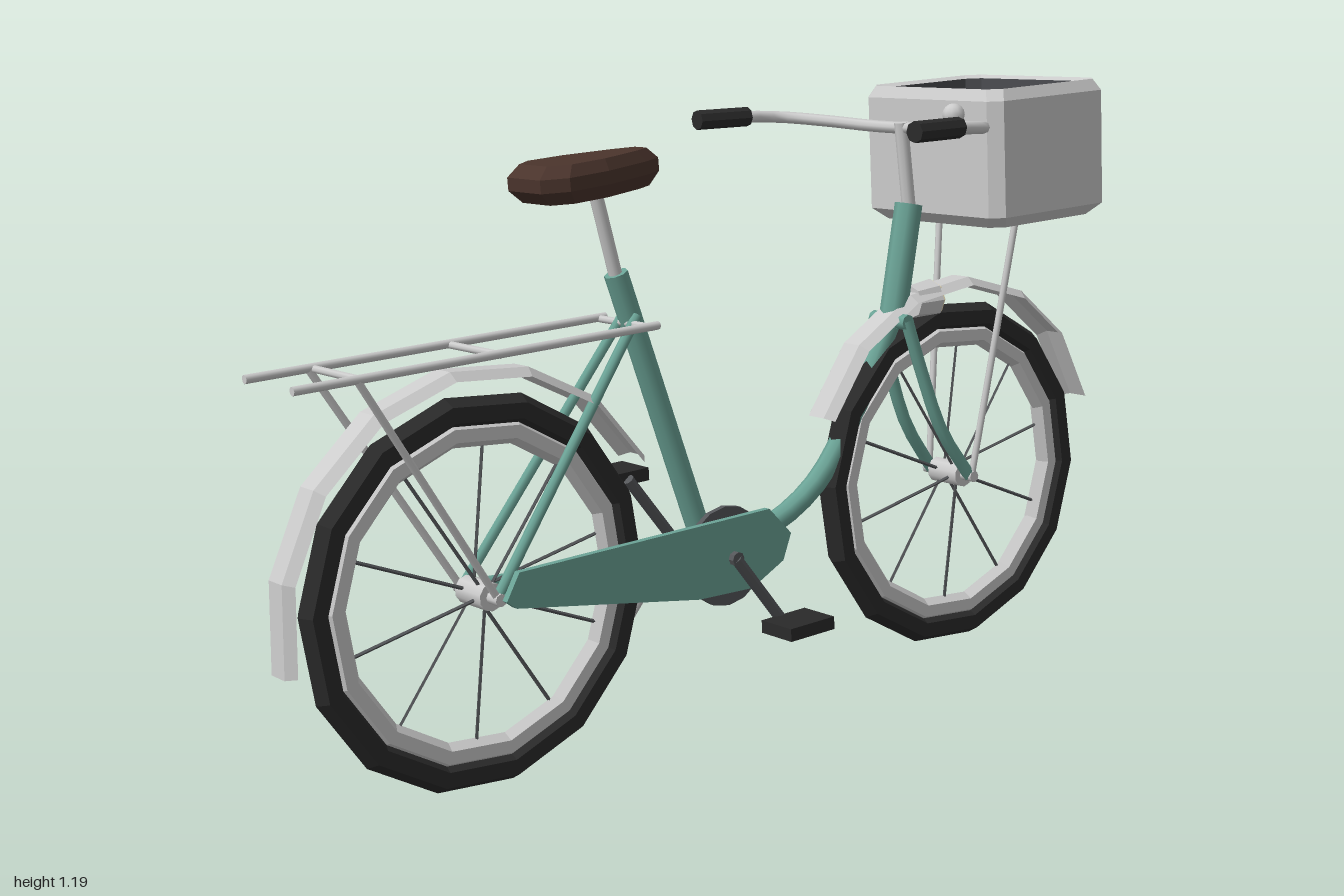
import * as THREE from 'three';

const mat = (color, flatShading = true, side = THREE.FrontSide) =>
  new THREE.MeshStandardMaterial({ color, flatShading, side });
const GREY = mat(0xcccccc), METAL = mat(0xcccccc, false), THIN = mat(0xcccccc, true, THREE.DoubleSide);
const PAINT = mat(0x6ba396, false), PAINT_FLAT = mat(0x6ba396);
const BLACK = mat(0x2a2a2a), DARK = mat(0x55575a), LINING = mat(0x4a4c50);
const LEATHER = mat(0x4a342c), CREAM = mat(0xe8dcb8);

const V = (x, y, z) => new THREE.Vector3(x, y, z);
const REAR = V(-0.59, 0.37, 0), FRONT = V(0.595, 0.37, 0), CRANK = V(-0.072, 0.34, 0);

function add(parent, name, geometry, material, x = 0, y = 0, z = 0) {
  const mesh = new THREE.Mesh(geometry, material);
  mesh.name = name;
  mesh.position.set(x, y, z);
  parent.add(mesh);
  return mesh;
}

// Straight round bar between two points
function rod(parent, name, a, b, r, material, r2 = r, sides = 8) {
  const dir = b.clone().sub(a);
  const mesh = add(parent, name, new THREE.CylinderGeometry(r2, r, dir.length(), sides), material);
  mesh.position.copy(a).add(b).multiplyScalar(0.5);
  mesh.quaternion.setFromUnitVectors(V(0, 1, 0), dir.normalize());
  return mesh;
}

function bentTube(parent, name, points, r, material, steps = 16) {
  return add(parent, name, new THREE.TubeGeometry(new THREE.CatmullRomCurve3(points), steps, r, 8), material);
}

// Skin over a row of equal cross-sections
function loft(loops, { closed = true, capStart = false, capEnd = false } = {}) {
  const n = loops[0].length, index = [];
  for (let i = 0; i < loops.length - 1; i++) {
    for (let j = 0; j < (closed ? n : n - 1); j++) {
      const k = (j + 1) % n, a = i * n, b = a + n;
      index.push(a + j, a + k, b + k, a + j, b + k, b + j);
    }
  }
  const last = (loops.length - 1) * n;
  for (let j = 1; j < n - 1; j++) {
    if (capStart) index.push(0, j + 1, j);
    if (capEnd) index.push(last, last + j, last + j + 1);
  }
  const g = new THREE.BufferGeometry().setFromPoints(loops.flat());
  g.setIndex(index);
  g.computeVertexNormals();
  return g;
}

function makeWheel(name, centre) {
  const wheel = new THREE.Group();
  wheel.name = name;
  wheel.position.copy(centre);
  add(wheel, 'tyre', new THREE.TorusGeometry(0.335, 0.029, 6, 14), BLACK).rotation.z = -0.1;
  const rim = add(wheel, 'rim', new THREE.TorusGeometry(0.296, 0.024, 6, 14), GREY);
  rim.rotation.z = -0.1;
  rim.scale.z = 0.85;
  add(wheel, 'hub', new THREE.CylinderGeometry(0.026, 0.026, 0.08, 10), METAL).rotation.x = Math.PI / 2;
  add(wheel, 'axle', new THREE.CylinderGeometry(0.012, 0.012, 0.14, 8), METAL).rotation.x = Math.PI / 2;
  for (let i = 0; i < 10; i++) {
    const a = 0.21 + i * Math.PI / 5, z = i % 2 ? 0.018 : -0.018;
    rod(wheel, 'spoke', V(0.02 * Math.cos(a), 0.02 * Math.sin(a), z),
      V(0.285 * Math.cos(a), 0.285 * Math.sin(a), 0), 0.0035, DARK, 0.0035, 4);
  }
  return wheel;
}

// Arched strip following a wheel between two angles in degrees
function makeFender(parent, name, centre, from, to, steps) {
  const section = [[-0.04, -0.016], [-0.022, 0], [0.022, 0], [0.04, -0.016]];
  const loops = [];
  for (let i = 0; i <= steps; i++) {
    const a = THREE.MathUtils.degToRad(from + (to - from) * i / steps);
    loops.push(section.map(([z, d]) =>
      V(centre.x + (0.412 + d) * Math.cos(a), centre.y + (0.412 + d) * Math.sin(a), z)));
  }
  add(parent, name, loft(loops, { closed: false }), THIN);
}

function makeBasket() {
  const basket = new THREE.Group();
  basket.name = 'basket';
  basket.position.set(0.718, 0, 0);
  const ring = (inset, y) => {
    const x = 0.167 - inset, z = 0.192 - inset, c = 0.024;
    return [[x, c - z], [x, z - c], [x - c, z], [c - x, z], [-x, z - c], [-x, c - z], [c - x, -z], [x - c, -z]]
      .map(([u, v]) => V(u, y, -v));
  };
  add(basket, 'basketShell', loft([ring(0.024, 0.897), ring(0, 0.92), ring(0, 1.15), ring(0.012, 1.173),
    ring(0.03, 1.167)], { capStart: true }), GREY);
  add(basket, 'basketLining', loft([ring(0.03, 1.167), ring(0.03, 0.93)], { capEnd: true }), LINING);
  return basket;
}

function makeSaddle() {
  const half = [[0.143, 0.02], [0.1, 0.042], [-0.01, 0.075], [-0.1, 0.08], [-0.143, 0.05]];
  const outline = [...half, ...half.map(([u, v]) => [u, -v]).reverse()];
  const loops = [[0.84, -0.034], [1, -0.01], [1, 0.014], [0.84, 0.035]]
    .map(([s, y]) => outline.map(([u, v]) => V(u * s, y, -v * s)));
  const saddle = add(new THREE.Group(), 'saddle', loft(loops, { capStart: true, capEnd: true }),
    LEATHER, -0.297, 1.083, 0);
  saddle.rotation.z = 0.04;
  return saddle;
}

function makeDrive(bike) {
  const outline = [[-0.59, 0.37], [-0.56, 0.418], [0.02, 0.418], [0.072, 0.36], [0.05, 0.31],
    [-0.03, 0.272], [-0.16, 0.278], [-0.57, 0.354]].map(([x, y]) => new THREE.Vector2(x, y));
  add(bike, 'chainGuard', new THREE.ExtrudeGeometry(new THREE.Shape(outline),
    { depth: 0.014, bevelEnabled: false }), PAINT_FLAT, 0, 0, 0.073);
  add(bike, 'chainring', new THREE.CylinderGeometry(0.097, 0.097, 0.012, 16), DARK,
    CRANK.x, CRANK.y, 0.06).rotation.x = Math.PI / 2;
  add(bike, 'bottomBracket', new THREE.CylinderGeometry(0.032, 0.032, 0.1, 10), PAINT,
    CRANK.x, CRANK.y, 0).rotation.x = Math.PI / 2;
  rod(bike, 'crankAxle', V(CRANK.x, CRANK.y, -0.095), V(CRANK.x, CRANK.y, 0.1), 0.014, DARK);
  // Opposed cranks and pedals
  for (const s of [1, -1]) {
    const tip = V(CRANK.x + s * 0.107, CRANK.y - s * 0.145, s * 0.092);
    rod(bike, 'crankArm', V(CRANK.x, CRANK.y, s * 0.092), tip, 0.012, DARK);
    add(bike, 'pedal', new THREE.BoxGeometry(0.11, 0.025, 0.085), BLACK, tip.x, tip.y, s * 0.14);
  }
}

function makeRack(bike) {
  for (const s of [1, -1]) {
    rod(bike, 'rackRail', V(-0.97, 0.808, s * 0.08), V(-0.22, 0.808, s * 0.08), 0.008, METAL);
    rod(bike, 'rackStay', V(-0.85, 0.808, s * 0.08), V(REAR.x, REAR.y, s * 0.06), 0.007, METAL);
  }
  for (const x of [-0.84, -0.565, -0.235])
    rod(bike, 'rackCrossbar', V(x, 0.806, -0.08), V(x, 0.806, 0.08), 0.007, METAL);
}

function makeHandlebar(bike) {
  const half = [[0.215, 1.126, 0.313], [0.33, 1.124, 0.304], [0.42, 1.116, 0.285],
    [0.465, 1.107, 0.19], [0.482, 1.1, 0.08]];
  const side = s => half.map(([x, y, z]) => V(x, y, s * z));
  bentTube(bike, 'handlebar', [...side(1), ...side(-1).reverse()], 0.012, METAL, 28);
  for (const s of [1, -1])
    rod(bike, 'grip', V(0.21, 1.127, s * 0.314), V(0.335, 1.124, s * 0.304), 0.02, BLACK);
  rod(bike, 'stem', V(0.495, 0.94, 0), V(0.48, 1.11, 0), 0.014, METAL);
  add(bike, 'bell', new THREE.SphereGeometry(0.022, 10, 8), METAL, 0.457, 1.133, 0.17);
}

export function createModel() {
  const model = new THREE.Group();
  model.name = 'bicycle';
  // Everything leans onto the kickstand
  const bike = new THREE.Group();
  bike.name = 'leaningBicycle';
  bike.position.set(0, 0.004, 0.08);
  bike.rotation.x = -0.07;
  model.add(bike);

  bike.add(makeWheel('rearWheel', REAR), makeWheel('frontWheel', FRONT), makeBasket(), makeSaddle());
  makeFender(bike, 'rearFender', REAR, 27, 188, 7);
  makeFender(bike, 'frontFender', FRONT, 14, 154, 6);

  // Frame
  rod(bike, 'seatTube', CRANK, V(-0.25, 0.9, 0), 0.023, PAINT);
  rod(bike, 'seatPost', V(-0.247, 0.88, 0), V(-0.288, 1.06, 0), 0.013, METAL);
  rod(bike, 'headTube', V(0.437, 0.7, 0), V(0.495, 0.945, 0), 0.028, PAINT);
  bentTube(bike, 'downTube', [V(0.445, 0.73, 0), V(0.33, 0.55, 0), V(0.22, 0.42, 0),
    V(0.09, 0.355, 0), CRANK], 0.022, PAINT);
  rod(bike, 'forkCrown', V(0.437, 0.715, -0.05), V(0.437, 0.715, 0.05), 0.016, PAINT);
  for (const s of [1, -1]) {
    rod(bike, 'seatStay', V(-0.222, 0.82, s * 0.02), V(REAR.x, REAR.y, s * 0.056), 0.01, PAINT);
    rod(bike, 'chainStay', V(CRANK.x, CRANK.y, s * 0.035), V(REAR.x, REAR.y, s * 0.056), 0.012, PAINT);
    bentTube(bike, 'forkBlade', [V(0.437, 0.72, s * 0.045), V(0.475, 0.6, s * 0.048),
      V(0.52, 0.48, s * 0.052), V(FRONT.x, FRONT.y, s * 0.056)], 0.013, PAINT, 8);
    rod(bike, 'basketStay', V(FRONT.x, FRONT.y, s * 0.062), V(0.693, 0.91, s * 0.11), 0.007, METAL);
  }

  makeDrive(bike);
  makeRack(bike);
  makeHandlebar(bike);

  // Headlamp
  rod(bike, 'headlamp', V(0.492, 0.745, 0), V(0.55, 0.745, 0), 0.034, GREY, 0.04);
  rod(bike, 'headlampLens', V(0.55, 0.745, 0), V(0.557, 0.745, 0), 0.036, CREAM);

  // Kickstand
  rod(bike, 'kickstand', V(-0.145, 0.33, -0.045), V(-0.226, 0.028, -0.225), 0.013, METAL);
  add(model, 'kickstandFoot', new THREE.BoxGeometry(0.05, 0.014, 0.036), GREY, -0.228, 0.007, -0.147);
  return model;
}
